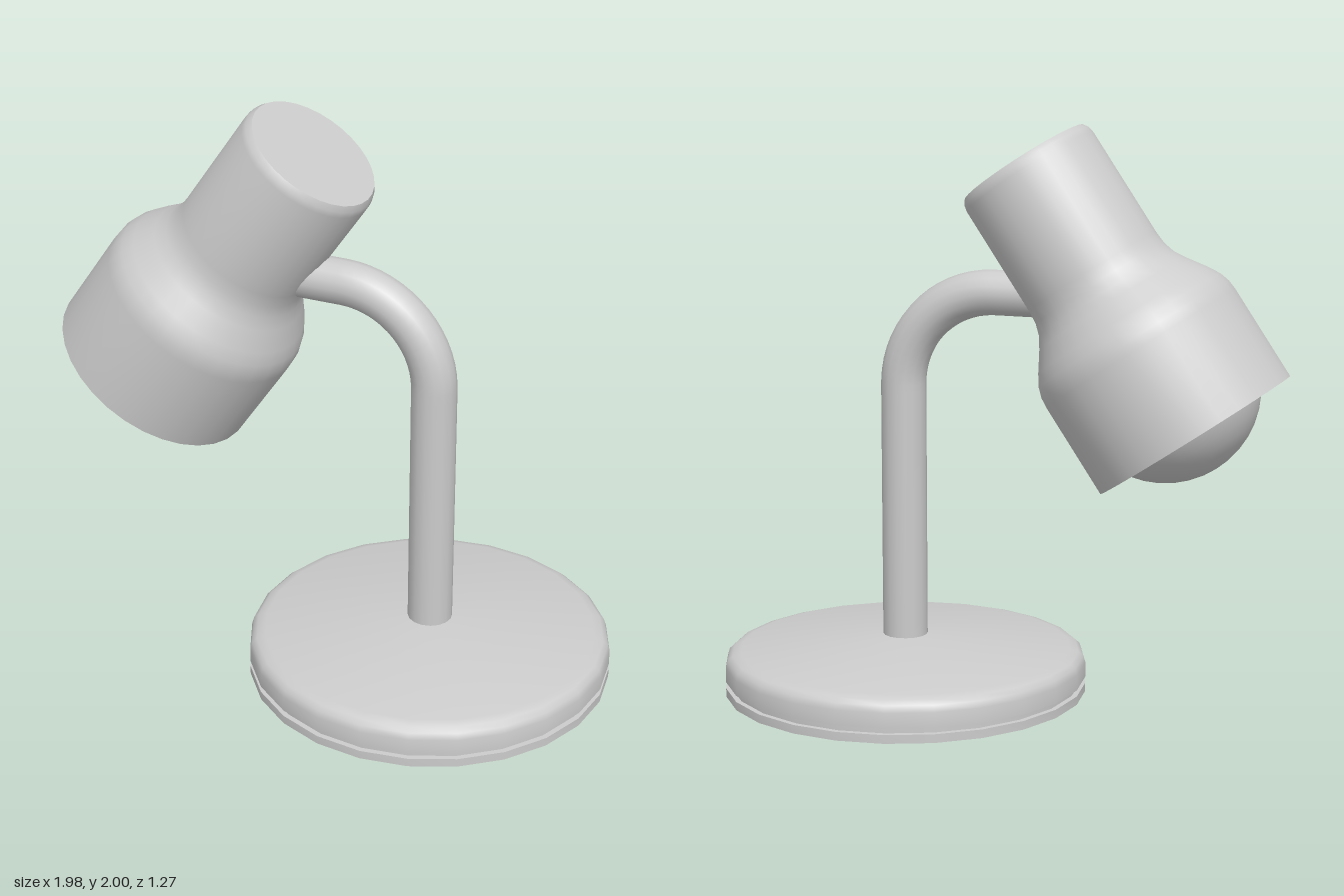
import * as THREE from 'three';
import { toCreasedNormals } from 'three/addons/utils/BufferGeometryUtils.js';

const material = new THREE.MeshStandardMaterial({ color: 0xcccccc });

function addMesh(parent, name, geometry) {
  const mesh = new THREE.Mesh(geometry, material);
  mesh.name = name;
  parent.add(mesh);
  return mesh;
}

// Turned part from [radius, height] pairs, smooth except at sharp corners
function turned(profile, sides) {
  const points = profile.map(([r, y]) => new THREE.Vector2(r, y));
  return toCreasedNormals(new THREE.LatheGeometry(points, sides), 0.6);
}

export function createModel() {
  const lamp = new THREE.Group();
  lamp.name = 'deskLamp';
  const poleX = 0.358;

  // Round base with a groove above its foot and a gently conical top
  const base = addMesh(lamp, 'base', turned([
    [0, 0], [0.634, 0], [0.634, 0.03], [0.615, 0.03], [0.615, 0.052],
    [0.634, 0.052], [0.634, 0.105], [0.627, 0.128], [0.61, 0.143], [0.58, 0.152],
    [0.08, 0.2], [0, 0.2],
  ], 24));
  base.position.x = poleX;

  // Upright tube bending over to the shade
  const bend = 0.335, top = 1.425, endX = -0.18;
  const path = new THREE.CurvePath();
  const corner = new THREE.Vector3(poleX, top - bend, 0);
  const bendEnd = new THREE.Vector3(poleX - bend, top, 0);
  const k = bend * 0.5523;
  path.add(new THREE.LineCurve3(new THREE.Vector3(poleX, 0.17, 0), corner));
  path.add(new THREE.CubicBezierCurve3(
    corner, new THREE.Vector3(poleX, corner.y + k, 0),
    new THREE.Vector3(bendEnd.x + k, top, 0), bendEnd));
  path.add(new THREE.LineCurve3(bendEnd, new THREE.Vector3(endX, top, 0)));
  addMesh(lamp, 'arm', new THREE.TubeGeometry(path, 48, 0.078, 16, false));

  // Tilted head: its local y axis runs from the open rim to the closed cap
  const head = new THREE.Group();
  head.name = 'head';
  head.position.set(-0.684, 0.981, 0);
  head.rotation.z = -0.597;
  lamp.add(head);

  // Thin-walled shade, inside first and then outside
  addMesh(head, 'shade', turned([
    [0, 1.03], [0.225, 1.03], [0.225, 0.61], [0.25, 0.56], [0.335, 0.43],
    [0.35, 0.36], [0.352, 0], [0.372, 0],
    [0.372, 0.34], [0.369, 0.375], [0.358, 0.41], [0.335, 0.45],
    [0.29, 0.515], [0.266, 0.555], [0.254, 0.595], [0.25, 0.64],
    [0.25, 1.035], [0.246, 1.055], [0.234, 1.074], [0, 1.074],
  ], 32));

  // Round bulb peeping out of the rim
  const bulb = addMesh(head, 'bulb', new THREE.SphereGeometry(0.32, 32, 20));
  bulb.position.y = 0.187;

  return lamp;
}
